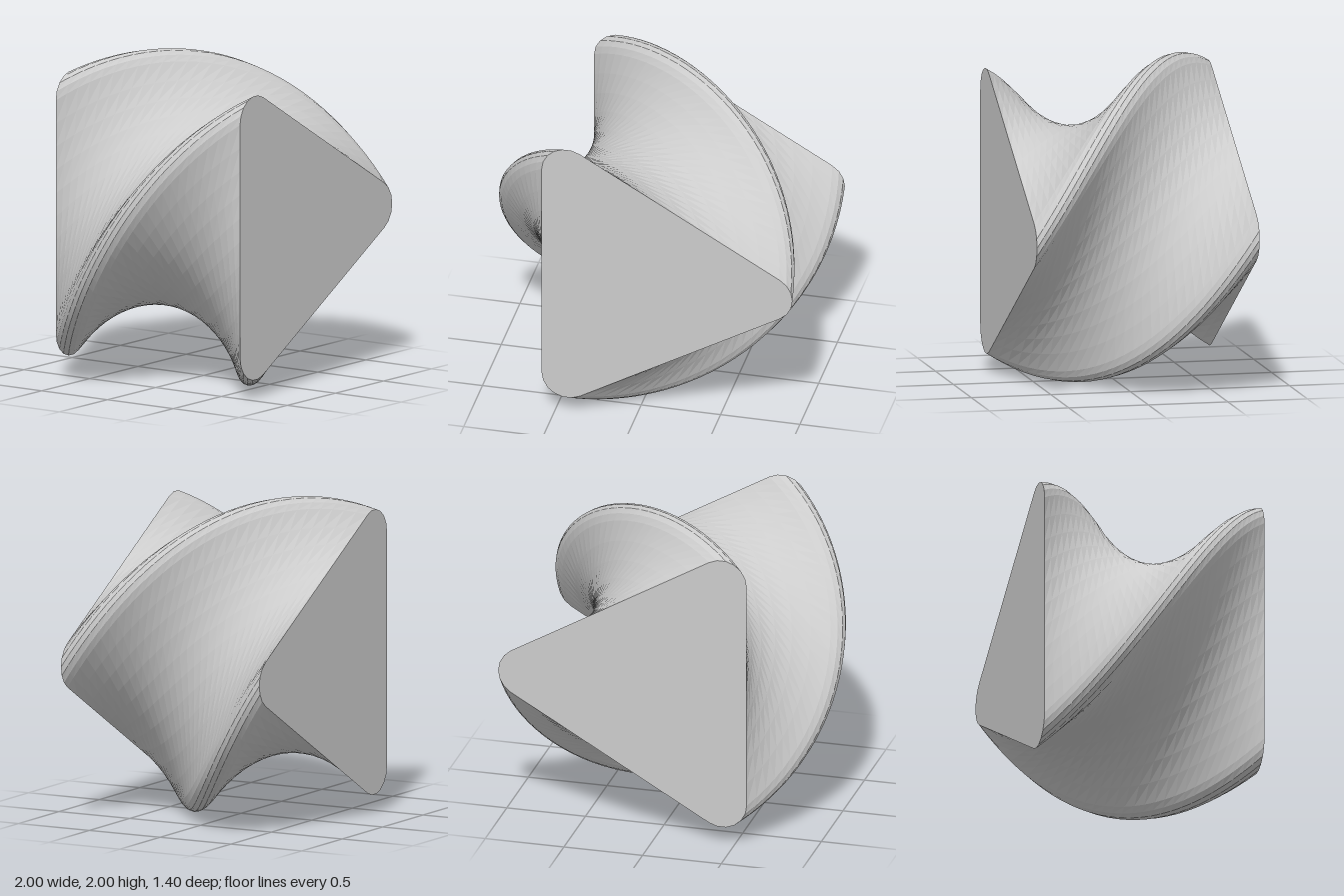
import * as THREE from 'three';

const CORNER_DIST = 0.84; // centre to the middle of each corner arc
const CORNER_RADIUS = 0.16;
const DEPTH = 1.4;
const TWIST = (Math.PI * 2) / 3;
const ARC_STEPS = 6, SIDE_STEPS = 10, DEPTH_STEPS = 30;

// Triangle with rounded corners, one pointing along +x, sides subdivided for twisting
function roundedTriangle() {
  const arcs = [0, 1, 2].map((i) => {
    const angle = (i * Math.PI * 2) / 3;
    return Array.from({ length: ARC_STEPS + 1 }, (_, k) => {
      const a = angle + (k / ARC_STEPS - 0.5) * TWIST;
      return new THREE.Vector2(
        CORNER_DIST * Math.cos(angle) + CORNER_RADIUS * Math.cos(a),
        CORNER_DIST * Math.sin(angle) + CORNER_RADIUS * Math.sin(a)
      );
    });
  });
  const points = [];
  arcs.forEach((arc, i) => {
    points.push(...arc);
    const from = arc[ARC_STEPS], to = arcs[(i + 1) % 3][0];
    for (let k = 1; k < SIDE_STEPS; k++) points.push(from.clone().lerp(to, k / SIDE_STEPS));
  });
  return new THREE.Shape(points);
}

export function createModel() {
  const geometry = new THREE.ExtrudeGeometry(roundedTriangle(), {
    depth: DEPTH, steps: DEPTH_STEPS, bevelEnabled: false,
  });
  geometry.translate(0, 0, -DEPTH / 2);

  // Turn each section about z: none at the front, a third of a turn at the back
  const pos = geometry.attributes.position;
  const axis = new THREE.Vector3(0, 0, 1), v = new THREE.Vector3();
  for (let i = 0; i < pos.count; i++) {
    v.fromBufferAttribute(pos, i);
    v.applyAxisAngle(axis, TWIST * (0.5 - v.z / DEPTH));
    pos.setXYZ(i, v.x, v.y, v.z);
  }
  geometry.computeVertexNormals();

  const material = new THREE.MeshStandardMaterial({ color: 0xcccccc, flatShading: true });
  const prism = new THREE.Mesh(geometry, material);
  prism.name = 'twistedTriangularPrism';
  prism.position.y = 1;

  const group = new THREE.Group();
  group.name = 'twistedPrism';
  group.add(prism);
  return group;
}
